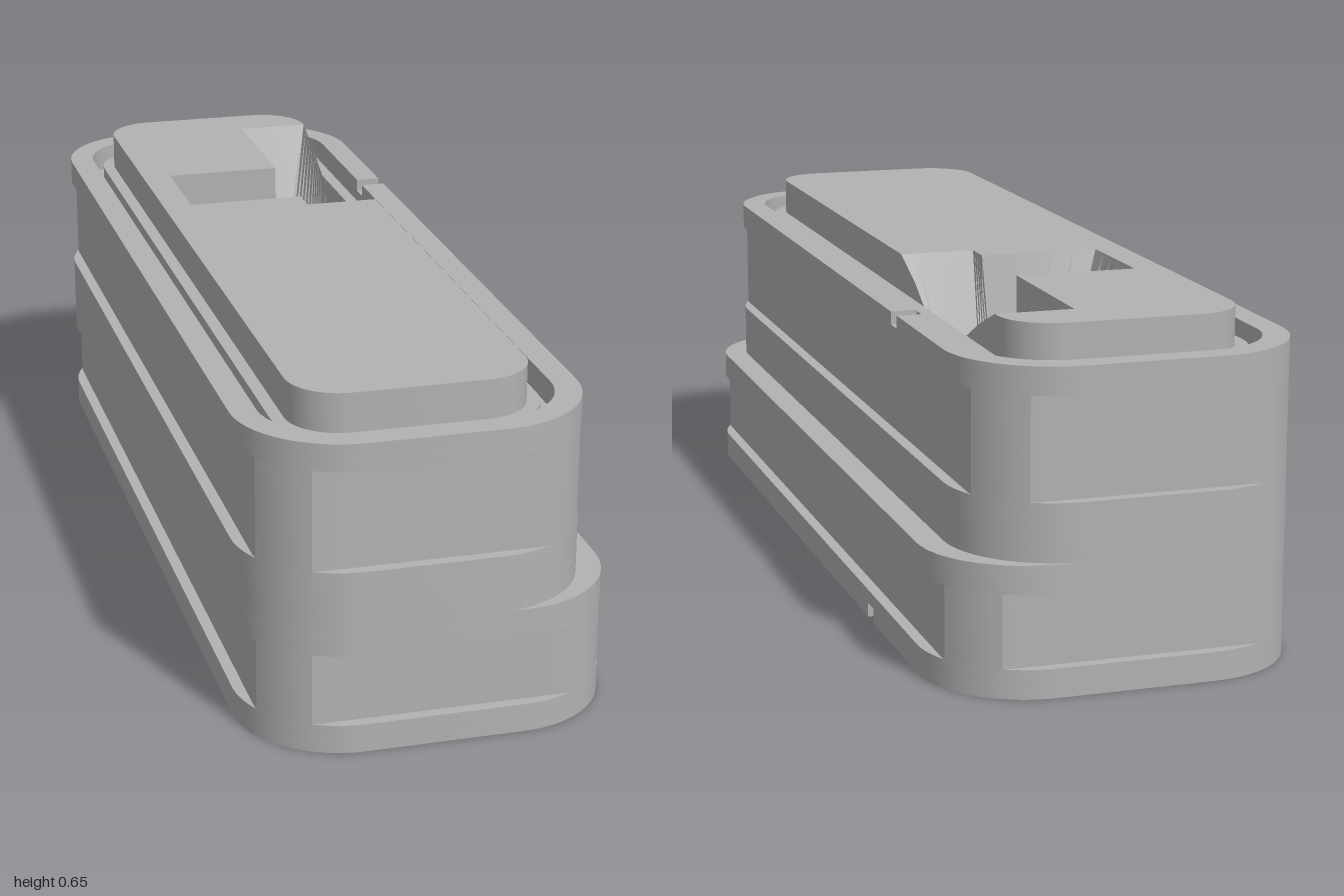
import * as THREE from 'three';
import { toCreasedNormals } from 'three/addons/utils/BufferGeometryUtils.js';

// Plan outlines use (x, v) with v = -z; well centre:
const CX = 0.05, CV = 0.48, NOTCH = 0.02;
const V2 = (x, y) => new THREE.Vector2(x, y);

// Rounded rectangle running counter-clockwise, with its seam on the +x side.
function outline(right, inset = 0, seamTop = CV + NOTCH, seamBottom = CV - NOTCH) {
  const x0 = -0.35 + inset, x1 = right - inset, v1 = 1 - inset, r = 0.2 - inset;
  const pts = [V2(x1, seamTop)];
  [[x1 - r, v1 - r], [x0 + r, v1 - r], [x0 + r, r - v1], [x1 - r, r - v1]].forEach(([cx, cv], q) => {
    for (let i = 0; i <= 16; i++) {
      const a = (q + i / 16) * Math.PI / 2;
      pts.push(V2(cx + r * Math.cos(a), cv + r * Math.sin(a)));
    }
  });
  pts.push(V2(x1, seamBottom));
  return pts;
}

// Same outline with its four flats planed back; the corner arcs stay in place.
function planed(right, d = 0.022) {
  return outline(right).map(p => V2(
    THREE.MathUtils.clamp(p.x, -0.35 + d, right - d),
    THREE.MathUtils.clamp(p.y, -1 + d, 1 - d)));
}

function circle(r) {
  const a0 = Math.asin(NOTCH / r), pts = [];
  for (let i = 0; i <= 64; i++) {
    const a = a0 + (2 * Math.PI - 2 * a0) * i / 64;
    pts.push(V2(CX + r * Math.cos(a), CV + r * Math.sin(a)));
  }
  return pts;
}

export function createModel() {
  const group = new THREE.Group();
  const grey = new THREE.MeshStandardMaterial({ color: 0xb2b2b2, side: THREE.DoubleSide });
  grey.name = 'grey';

  const add = (name, geometry) => {
    const mesh = new THREE.Mesh(geometry, grey);
    mesh.name = name;
    group.add(mesh);
  };

  // Horizontal slab from y0 to y1; a notched slab is cut open at its seam.
  const slab = (name, y0, y1, outer, inner, notched = false) => {
    let shape;
    if (notched) {
      shape = new THREE.Shape([...outer, ...inner.slice().reverse()]);
    } else {
      shape = new THREE.Shape(outer);
      if (inner) shape.holes.push(new THREE.Path(inner));
    }
    const g = new THREE.ExtrudeGeometry(shape, { depth: y1 - y0, bevelEnabled: false });
    g.rotateX(-Math.PI / 2).translate(0, y0, 0);
    add(name, toCreasedNormals(g, 0.35));
  };

  // Wide lower body with round well
  const low = outline(0.35), well = circle(0.25);
  slab('notchedFoot', 0, 0.028, low, well, true);
  slab('footBand', 0.028, 0.055, low, well);
  slab('lowerRecess', 0.055, 0.193, planed(0.35), well);
  slab('stepBand', 0.193, 0.247, low, well);

  // Narrower upper body
  const up = outline(0.3), bore = outline(0.3, 0.05);
  slab('middleBand', 0.247, 0.356, up, circle(0.2));
  slab('upperRecess', 0.356, 0.548, planed(0.3), bore);
  slab('rimBand', 0.548, 0.575, up, bore);
  slab('notchedRim', 0.575, 0.6, up, bore, true);

  // Groove, ledge and raised top
  slab('grooveFloor', 0.54, 0.55, bore, outline(0.3, 0.075));
  slab('ledge', 0.54, 0.58, outline(0.3, 0.075), outline(0.3, 0.1));
  const bay = [[0.05, 0.18], [0.05, 0.24], [-0.19, 0.24], [-0.19, 0.46], [0.05, 0.46], [0.05, 0.79]];
  slab('raisedTop', 0.55, 0.655,
    [...outline(0.3, 0.1, 0.79, 0.18), ...bay.map(p => V2(...p))]);

  // Side cheeks left beside the funnel opening
  const cheeks = [
    [[0.79, 0.655], [0.69, 0.615], [0.62, 0.58], [0.79, 0.58]],
    [[0.18, 0.655], [0.28, 0.615], [0.34, 0.58], [0.18, 0.58]],
  ];
  for (const c of cheeks) {
    const g = new THREE.ShapeGeometry(new THREE.Shape(c.map(p => V2(...p))));
    add('openingCheek', g.rotateY(Math.PI / 2).translate(0.2, 0, 0));
  }

  // Funnel: top edge (x, y, v) joined to an angle on the throat circle
  const edge = [
    [0.05, 0.655, 0.79, 90], [0.2, 0.655, 0.79, 65], [0.2, 0.615, 0.69, 50],
    [0.2, 0.58, 0.62, 40], [0.2, 0.58, 0.48, 0], [0.2, 0.58, 0.34, -40],
    [0.2, 0.615, 0.28, -50], [0.2, 0.655, 0.18, -65], [0.05, 0.655, 0.18, -85],
    [0.05, 0.655, 0.24, -95], [-0.19, 0.655, 0.24, -135], [-0.19, 0.655, 0.46, -174],
  ];
  const throat = deg => {
    const a = THREE.MathUtils.degToRad(deg);
    return new THREE.Vector3(CX + 0.19 * Math.cos(a), 0.356, -CV - 0.19 * Math.sin(a));
  };
  const pos = [];
  const quad = (a, b, c, d) => [a, d, b, b, d, c].forEach(p => pos.push(p.x, p.y, p.z));
  const rim = edge.map(([x, y, v]) => new THREE.Vector3(x, y, -v));
  for (let i = 0; i < edge.length - 1; i++) {
    for (let k = 0; k < 5; k++) {
      const [s, t] = [k / 5, (k + 1) / 5];
      const deg = u => THREE.MathUtils.lerp(edge[i][3], edge[i + 1][3], u);
      quad(rim[i].clone().lerp(rim[i + 1], s), rim[i].clone().lerp(rim[i + 1], t),
        throat(deg(t)), throat(deg(s)));
    }
  }
  // Upright walls of the solid corner
  const cornerTop = new THREE.Vector3(0.05, 0.655, -0.46);
  const cornerLow = new THREE.Vector3(0.05, 0.356, -0.46);
  quad(rim[11], cornerTop, cornerLow, throat(-174));
  quad(cornerTop, rim[0], throat(90), cornerLow);
  const funnel = new THREE.BufferGeometry();
  funnel.setAttribute('position', new THREE.Float32BufferAttribute(pos, 3));
  funnel.computeVertexNormals();
  add('funnel', toCreasedNormals(funnel, 0.35));

  // Underside of the solid corner, closing a quarter of the throat
  const plug = new THREE.CircleGeometry(0.2, 16, Math.PI / 2, Math.PI / 2);
  add('cornerUnderside', plug.rotateX(-Math.PI / 2).translate(CX, 0.356, -CV));

  return group;
}
